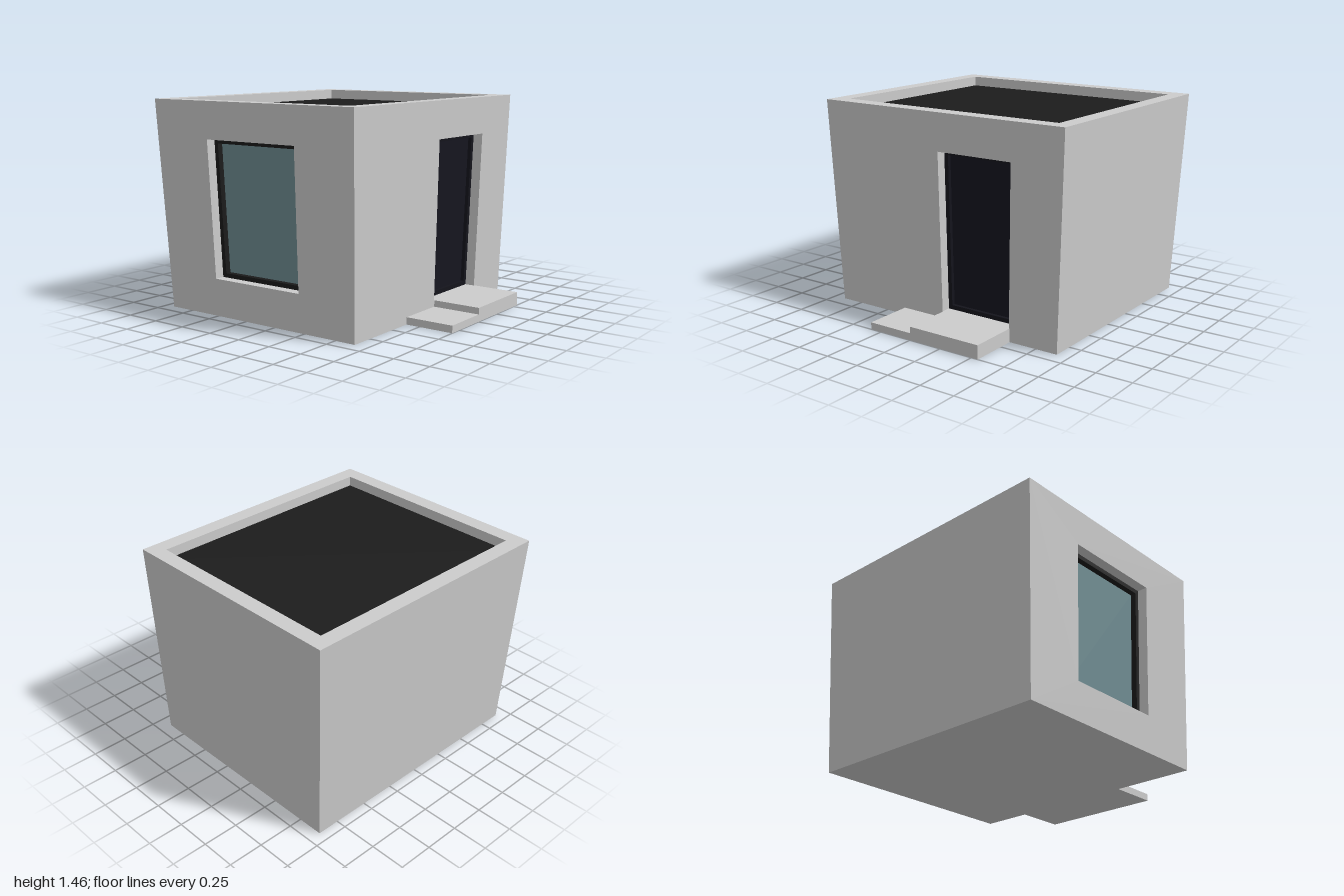
import * as THREE from 'three';

const H = 1.46;
// Outward lean of each wall as a function of height
const lean = (bottom, top) => (y) => bottom + (top - bottom) * y / H;
const frontZ = lean(0.91, 0.97), rightX = lean(0.65, 0.69), leftX = lean(0.93, 1);

// Maps (along wall, height, depth into wall) to space, seen from outside
const front = ([u, y], d = 0) => [u, y, frontZ(y) - d];
const back = ([u, y], d = 0) => [-u, y, -frontZ(y) + d];
const right = ([u, y], d = 0) => [rightX(y) - d, y, -u];
const left = ([u, y], d = 0) => [-leftX(y) + d, y, u];
const place = (map, loop, d) => loop.map((p) => map(p, d));

// Joins four-cornered rings into strips, optionally closing the last ring
function surface(name, color, rings, cap = false) {
  const pos = [];
  const quad = (a, b, c, d) => pos.push(...a, ...b, ...c, ...a, ...c, ...d);
  for (let r = 0; r + 1 < rings.length; r++) {
    for (let i = 0; i < 4; i++) {
      const j = (i + 1) % 4;
      quad(rings[r][i], rings[r][j], rings[r + 1][j], rings[r + 1][i]);
    }
  }
  if (cap) quad(...rings[rings.length - 1]);
  const geo = new THREE.BufferGeometry();
  geo.setAttribute('position', new THREE.Float32BufferAttribute(pos, 3));
  geo.computeVertexNormals();
  const mesh = new THREE.Mesh(geo, new THREE.MeshStandardMaterial({ color }));
  mesh.name = name;
  return mesh;
}

// Corner loops run bottom left, bottom right, top right, top left
const inset = (loop, s) => loop.map(([u, y], i) => [
  u + (i === 0 || i === 3 ? s : -s), y + (i < 2 ? s : -s)]);

// Wall with a recessed opening, its frame and its pane
function wallWithOpening(map, outline, hole, name, frameColor, paneColor, frameDepth) {
  const group = new THREE.Group();
  group.name = name + 'Wall';
  const reveal = 0.07, inner = inset(hole, 0.03);
  const rim = place(map, hole, reveal);
  const paneEdge = place(map, inner, reveal + frameDepth);
  group.add(
    surface(name + 'WallSurface', 0xcccccc, [place(map, outline), place(map, hole), rim]),
    surface(name + 'Frame', frameColor, [rim, place(map, inner, reveal), paneEdge]),
    surface(name + 'Pane', paneColor, [paneEdge], true));
  return group;
}

export function createModel() {
  const model = new THREE.Group();
  model.name = 'smallBuilding';
  const GREY = 0xcccccc;

  // Leaning walls
  const frontOutline = [[-0.93, 0], [0.65, 0], [0.69, H], [-1, H]];
  const backOutline = [[-0.65, 0], [0.93, 0], [1, H], [-0.69, H]];
  const sideOutline = [[-0.91, 0], [0.91, 0], [0.97, H], [-0.97, H]];
  const windowHole = [[-0.505, 0.26], [0.215, 0.26], [0.22, 1.205], [-0.525, 1.205]];
  const doorHole = [[0, 0.095], [0.545, 0.095], [0.575, 1.2], [0, 1.2]];
  model.add(
    wallWithOpening(front, frontOutline, windowHole, 'window', 0x1a1a1a, 0x6e8c92, 0.04),
    wallWithOpening(right, sideOutline, doorHole, 'door', 0x14141c, 0x15151f, 0.025),
    surface('backWall', GREY, [place(back, backOutline)], true),
    surface('leftWall', GREY, [place(left, sideOutline)], true));

  // Parapet, sunken roof and underside
  const level = (x0, x1, z, y) => [[x0, y, z], [x1, y, z], [x1, y, -z], [x0, y, -z]];
  const roofEdge = level(-0.89, 0.58, 0.86, H - 0.07);
  model.add(
    surface('parapet', GREY, [level(-1, 0.69, 0.97, H), level(-0.89, 0.58, 0.86, H), roofEdge]),
    surface('roof', 0x1c1c1c, [roofEdge], true),
    surface('underside', GREY, [level(-0.93, 0.65, 0.91, 0).reverse()], true));

  // Two steps at the door
  for (const [name, z0, z1, h] of [
    ['upperStep', -0.55, -0.005, 0.095], ['lowerStep', -0.005, 0.335, 0.05]]) {
    const step = new THREE.Mesh(new THREE.BoxGeometry(0.35, h, z1 - z0),
      new THREE.MeshStandardMaterial({ color: GREY }));
    step.position.set(0.825, h / 2, (z0 + z1) / 2);
    step.name = name;
    model.add(step);
  }
  return model;
}
